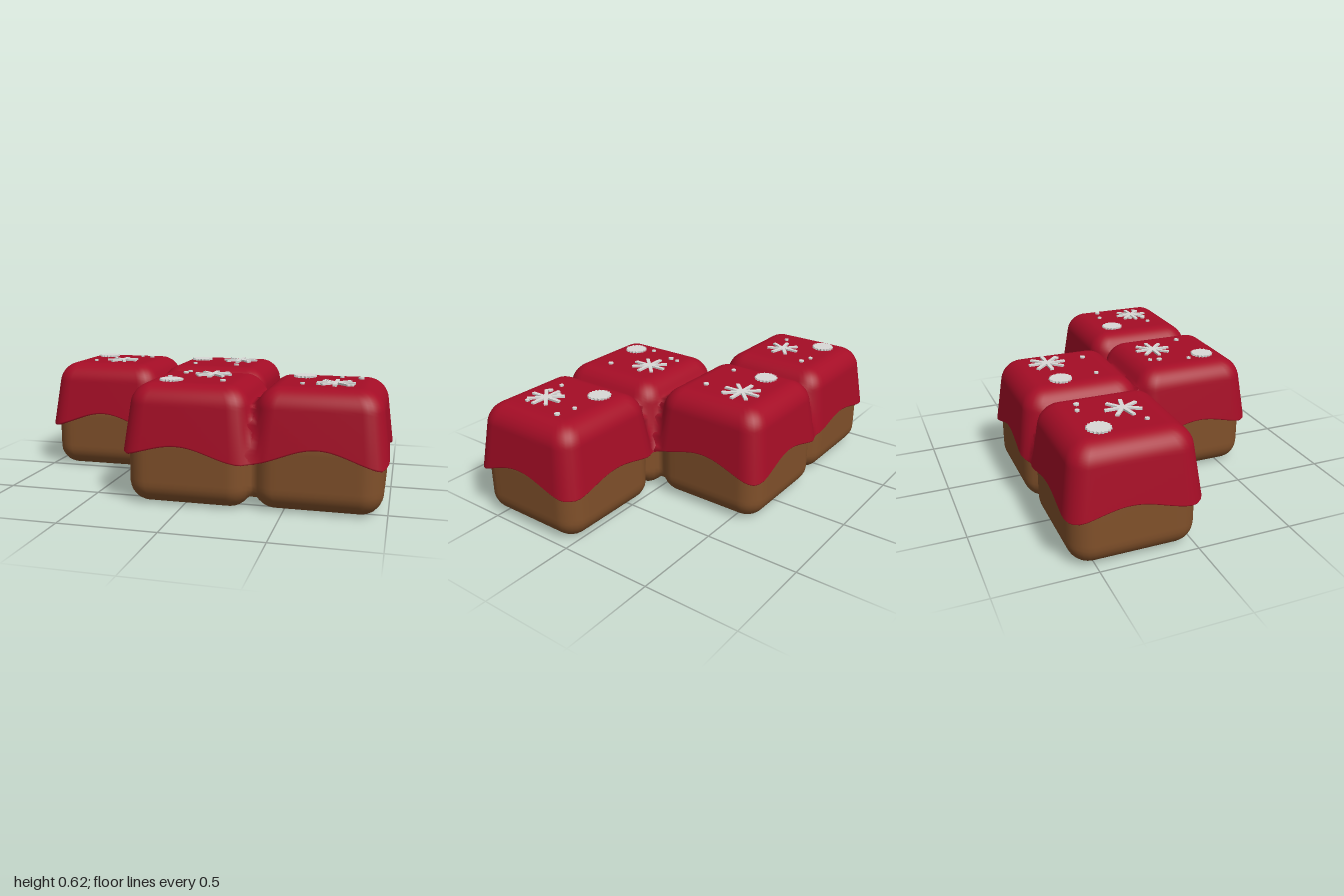
import * as THREE from 'three';

const mat = (name, color) => Object.assign(new THREE.MeshStandardMaterial({ color }), { name });

// four cake blocks: centre x, z and the sides on which a neighbour joins
const BLOCKS = [
  { x: -0.66, z: -0.30, px: 1 },
  { x: -0.02, z: -0.32, nx: 1, pz: 1 },
  { x: 0.02, z: 0.32, nz: 1, px: 1 },
  { x: 0.66, z: 0.29, nx: 1 },
];
const JOIN = 0.345, FREE = 0.42, SEG = 96;

// distance to a rounded box
function roundBox(x, y, z, h, hy, r) {
  const a = Math.abs(x) - h + r, b = Math.abs(y) - hy + r, c = Math.abs(z) - h + r;
  return Math.hypot(Math.max(a, 0), Math.max(b, 0), Math.max(c, 0)) + Math.min(Math.max(a, b, c), 0) - r;
}
function smoothMin(a, b, k) {
  const h = Math.max(k - Math.abs(a - b), 0) / k;
  return Math.min(a, b) - h * h * k * 0.25;
}
// blocks melted together
const melt = (one) => (x, y, z) =>
  BLOCKS.reduce((d, b) => smoothMin(d, one(x - b.x, y, z - b.z), 0.06), 9);
const cakeField = melt((x, y, z) => roundBox(x, y - 0.215, z, 0.317, 0.21, 0.11));
const icingField = melt((x, y, z) => roundBox(x, y - 0.265, z, 0.335 - 0.13 * (y - 0.3), 0.35, 0.1));

// height of the dripping icing edge
const STEP = (2 * Math.PI) / 0.66;
const drip = (x, z) =>
  0.325 + 0.033 * (Math.cos(STEP * x) - Math.cos(STEP * z)) + 0.012 * Math.sin(7 * x + 5 * z);

// first surface point on a ray from inside a block, stopped at its joined sides
function cast(field, block, target) {
  const o = [block.x, Math.min(Math.max(target[1], 0.2), 0.4), block.z];
  const d = target.map((v, i) => v - o[i]);
  const lx = (d[0] > 0 ? block.px : block.nx) ? JOIN : FREE;
  const lz = (d[2] > 0 ? block.pz : block.nz) ? JOIN : FREE;
  const end = Math.min(1.5, lx / (Math.abs(d[0]) + 1e-9), lz / (Math.abs(d[2]) + 1e-9));
  const at = (t) => o.map((v, i) => v + d[i] * t);
  let lo = 0, hi = end;
  for (let i = 1; i <= 30; i++) {
    const t = (end * i) / 30;
    if (field(...at(t)) > 0) { hi = t; break; }
    lo = t;
  }
  if (lo === end) return at(end);
  for (let i = 0; i < 16; i++) {
    const m = (lo + hi) / 2;
    if (field(...at(m)) > 0) hi = m; else lo = m;
  }
  return at(lo);
}
function slope(field, p) {
  const e = 0.003;
  const g = [0, 1, 2].map((i) => {
    const a = [...p], b = [...p];
    a[i] += e; b[i] -= e;
    return field(...a) - field(...b);
  });
  return new THREE.Vector3(...g).normalize();
}

// skin from rows running downwards; rowAt gives { p, n }
function skin(rows, rowAt) {
  const pos = [], nor = [], index = [];
  for (let i = 0; i < rows; i++) for (let j = 0; j <= SEG; j++) {
    const t = (j / SEG) * 2 * Math.PI, c = Math.cos(t), s = Math.sin(t);
    const m = Math.max(Math.abs(c), Math.abs(s));
    const { p, n } = rowAt(i, c / m, s / m);
    pos.push(...p);
    nor.push(n.x, n.y, n.z);
    if (i + 1 < rows && j < SEG) {
      const a = i * (SEG + 1) + j, b = a + 1, d = a + SEG + 1;
      index.push(a, b, d, b, d + 1, d);
    }
  }
  const g = new THREE.BufferGeometry();
  g.setAttribute('position', new THREE.Float32BufferAttribute(pos, 3));
  g.setAttribute('normal', new THREE.Float32BufferAttribute(nor, 3));
  g.setIndex(index);
  return g;
}

function cakeGeometry(block) {
  const side = 16, under = 20;
  return skin(side + under + 1, (i, u, v) => {
    const k = i <= side ? 1 : 1 - (i - side) / under;
    const y = 0.4 * (1 - Math.min(i / side, 1));
    const p = cast(cakeField, block, [block.x + u * k * 0.32, y, block.z + v * k * 0.32]);
    return { p, n: slope(cakeField, p) };
  });
}

function icingGeometry(block) {
  const top = 18, side = 18;
  const lip = [[0.007, -0.009], [0.018, -0.011], [0.045, 0.004]];
  return skin(top + side + 1 + lip.length, (i, u, v) => {
    const k = Math.min(i / top, 1), f = Math.min(Math.max((i - top) / side, 0), 1);
    const x = block.x + u * k * 0.33, z = block.z + v * k * 0.33;
    const y = 0.615 + (drip(x, z) - 0.615) * f;
    const p = cast(icingField, block, [x, y, z]);
    const n = slope(icingField, p);
    const l = i - top - side - 1;
    if (l >= 0) {
      // rounded edge tucked back under to the cake
      p[0] -= n.x * lip[l][0];
      p[2] -= n.z * lip[l][0];
      p[1] += lip[l][1];
      n.multiplyScalar(l ? 0.1 : 0.8);
      n.y -= 0.7;
      n.normalize();
    }
    return { p, n };
  });
}

export function createModel() {
  const model = new THREE.Group();
  model.name = 'icedCake';
  const brown = mat('cakeBrown', 0x80502a), red = mat('icingRed', 0xa50d26), white = mat('sugarWhite', 0xd8d8d6);
  const add = (name, geo, m, parent = model) => {
    const mesh = new THREE.Mesh(geo, m);
    mesh.name = name;
    parent.add(mesh);
    return mesh;
  };
  BLOCKS.forEach((b) => {
    add('cakeBlock', cakeGeometry(b), brown);
    add('icing', icingGeometry(b), red);
  });

  const TOP = 0.617;
  // sugar stars: x, z, radius, arms
  [[-0.63, -0.24, 0.092, 7], [0.07, -0.4, 0.1, 8], [0.06, 0.22, 0.098, 8], [0.72, 0.36, 0.094, 8]]
    .forEach(([x, z, r, arms]) => {
      const star = new THREE.Group();
      star.name = 'sugarStar';
      star.position.set(x, TOP, z);
      for (let i = 0; i < arms; i++) {
        const arm = new THREE.BoxGeometry(0.019, 0.016, r);
        arm.translate(0, 0, -r / 2);
        add('starArm', arm, white, star).rotation.y = (i / arms) * 2 * Math.PI;
      }
      model.add(star);
    });

  // round sugar dots with a ragged rim
  [[-0.79, -0.42], [-0.17, -0.4], [0.54, 0.16], [-0.1, 0.45]].forEach(([x, z]) => {
    const pts = [];
    for (let i = 0; i < 36; i++) {
      const a = (i / 36) * 2 * Math.PI, r = i % 2 ? 0.053 : 0.061;
      pts.push(new THREE.Vector2(Math.cos(a) * r, Math.sin(a) * r));
    }
    const geo = new THREE.ExtrudeGeometry(new THREE.Shape(pts), { depth: 0.016, bevelEnabled: false });
    geo.rotateX(-Math.PI / 2);
    add('sugarDot', geo, white).position.set(x, TOP - 0.008, z);
  });

  // loose sugar grains
  [[-0.58, -0.45], [-0.51, -0.43], [-0.78, -0.18], [0.13, -0.33], [-0.16, -0.2], [0.09, -0.19],
    [-0.09, 0.14], [-0.1, 0.19], [-0.14, 0.35], [0.16, 0.42], [0.73, 0.15], [0.83, 0.17],
    [0.56, 0.41], [0.64, 0.41], [0.8, 0.41], [0.66, 0.33]].forEach(([x, z], i) => {
    const s = 0.024 + 0.006 * (i % 2);
    const grain = add('sugarGrain', new THREE.CylinderGeometry(s / 2, s / 2, 0.014, 7), white);
    grain.position.set(x, TOP, z);
    grain.rotation.y = i;
  });
  return model;
}
